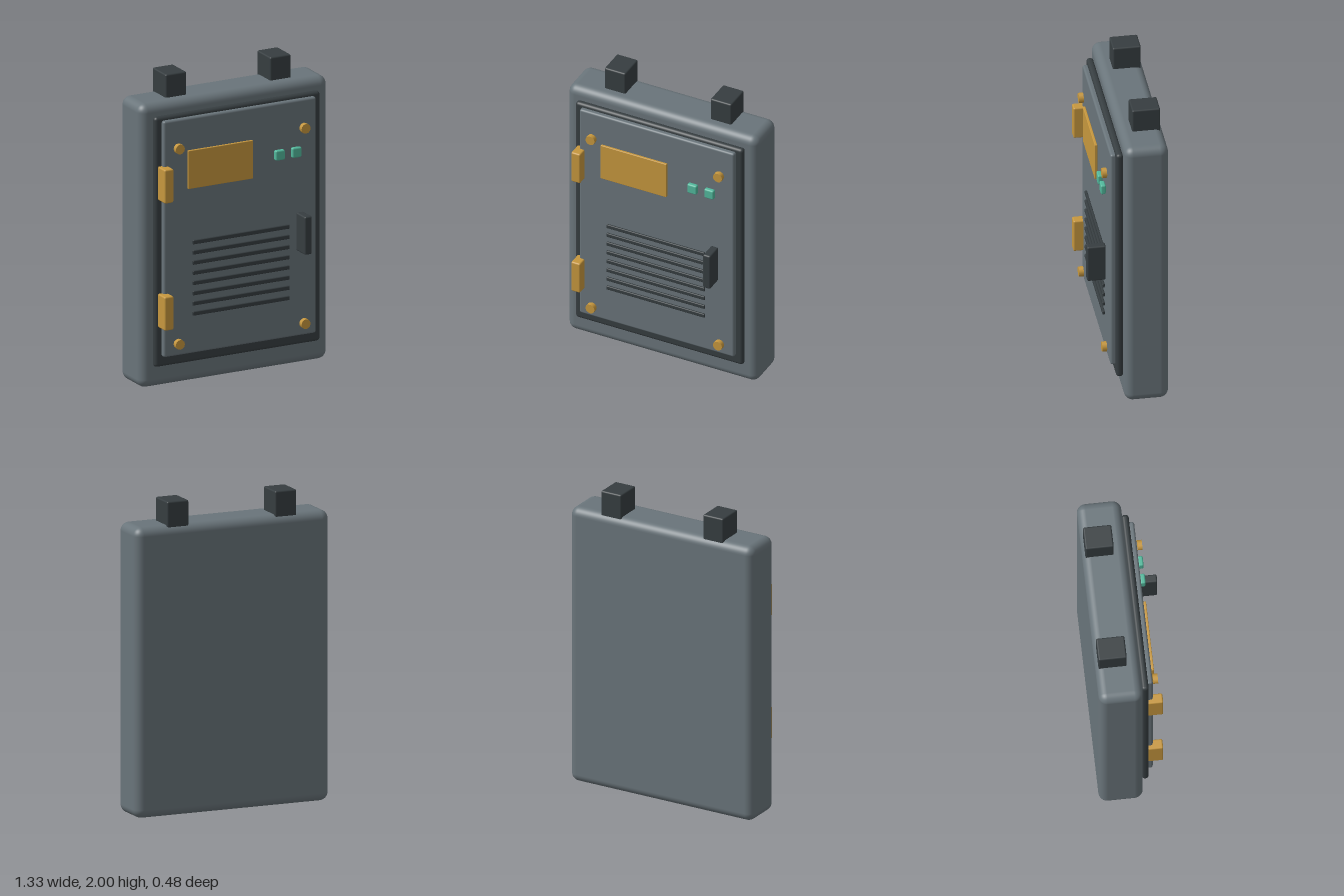
import * as THREE from 'three';
import { RoundedBoxGeometry } from 'three/addons/geometries/RoundedBoxGeometry.js';

const paint = (color) => new THREE.MeshStandardMaterial({ color });

export function createModel() {
  const model = new THREE.Group();
  const grey = paint(0x69747a);
  const dark = paint(0x363d40);
  const brass = paint(0xc6973e);
  const green = paint(0x52b89c);

  // Rounded box given by its centre in x and y, its size, and its z extent
  function block(name, material, x, y, w, h, zBack, zFront, radius, segments = 2) {
    const depth = zFront - zBack;
    const mesh = new THREE.Mesh(new RoundedBoxGeometry(w, h, depth, segments, radius), material);
    mesh.name = name;
    mesh.position.set(x, y, (zBack + zFront) / 2);
    model.add(mesh);
    return mesh;
  }

  // Cabinet, door seal and door panel
  block('cabinetBody', grey, 0, 0.925, 1.33, 1.85, -0.24, 0.038, 0.055, 5);
  block('doorSeal', dark, 0, 0.958, 1.17, 1.63, 0.035, 0.08, 0.02, 3);
  block('doorPanel', grey, 0, 0.98, 1.08, 1.54, 0.07, 0.11, 0.014, 3);

  // Mounting lugs on top
  for (const side of [-1, 1]) {
    block('mountingLug', dark, side * 0.37, 1.91, 0.147, 0.18, -0.22, -0.043, 0.01);
  }

  // Door hinges
  for (const y of [1.345, 0.515]) {
    block('hinge', brass, -0.535, y, 0.064, 0.22, 0.075, 0.172, 0.01);
  }

  // Blank plate and indicator lamps
  block('plate', brass, -0.15, 1.418, 0.46, 0.25, 0.117, 0.134, 0.004);
  for (const x of [0.265, 0.383]) {
    block('indicatorLamp', green, x, 1.42, 0.066, 0.066, 0.118, 0.15, 0.01);
  }

  // Ventilation slots
  for (let i = 0; i < 8; i++) {
    block('ventSlot', dark, 0, 0.472 + i * 0.0665, 0.686, 0.027, 0.113, 0.128, 0.005);
  }

  // Door handle
  block('doorHandle', dark, 0.414, 0.899, 0.052, 0.248, 0.122, 0.24, 0.01);

  // Corner screws
  const screwGeometry = new THREE.CylinderGeometry(0.032, 0.032, 0.03, 12).rotateX(Math.PI / 2);
  for (const x of [-0.445, 0.445]) {
    for (const y of [0.292, 1.567]) {
      const screw = new THREE.Mesh(screwGeometry, brass);
      screw.name = 'cornerScrew';
      screw.position.set(x, y, 0.135);
      model.add(screw);
    }
  }

  return model;
}
